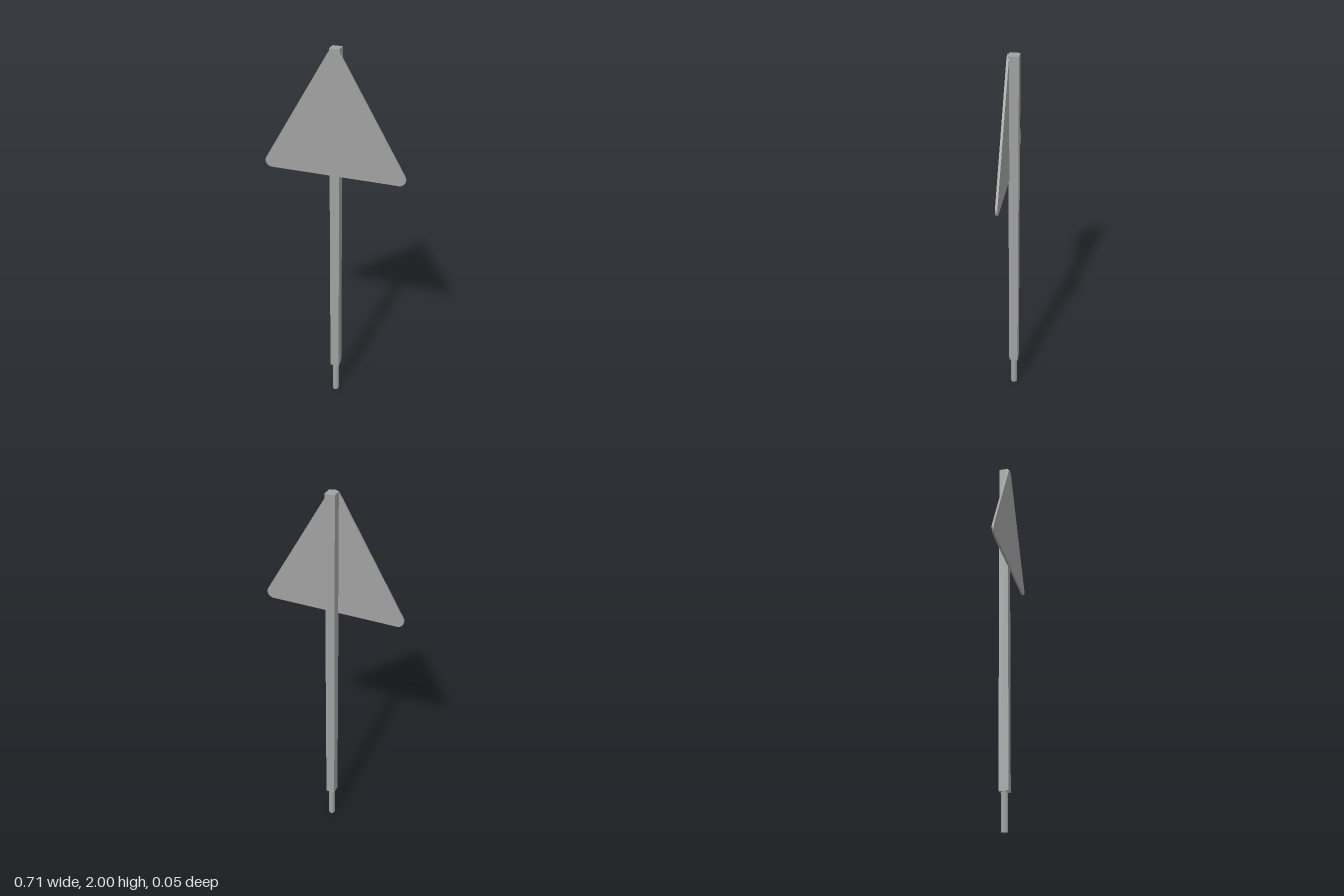
import * as THREE from 'three';

const grey = new THREE.MeshStandardMaterial({ color: 0xa0a0a0, flatShading: true });
grey.name = 'plain grey';

function part(name, geometry, x, y, z) {
  const mesh = new THREE.Mesh(geometry, grey);
  mesh.name = name;
  mesh.position.set(x, y, z);
  return mesh;
}

// Equilateral triangle with rounded corners, base on y = 0
function roundedTriangle(halfWidth, r) {
  const cx = halfWidth - r;
  const shape = new THREE.Shape();
  shape.moveTo(-cx, 0);
  shape.absarc(cx, r, r, -Math.PI / 2, Math.PI / 6, false);
  shape.absarc(0, r + Math.sqrt(3) * cx, r, Math.PI / 6, Math.PI * 5 / 6, false);
  shape.absarc(-cx, r, r, Math.PI * 5 / 6, Math.PI * 3 / 2, false);
  return shape;
}

export function createModel() {
  const model = new THREE.Group();
  model.name = 'triangularRoadSign';

  // Square post, standing on a thin round peg
  model.add(part('post', new THREE.BoxGeometry(0.048, 1.815, 0.048), 0, 1.0925, -0.0055));
  model.add(part('groundPeg', new THREE.CylinderGeometry(0.017, 0.017, 0.19, 12), 0, 0.095, -0.0055));

  // Sign plate, set slightly into the front of the post
  const plate = new THREE.ExtrudeGeometry(roundedTriangle(0.353, 0.032), {
    depth: 0.011, bevelEnabled: false, curveSegments: 8,
  });
  model.add(part('signPlate', plate, 0, 1.38, 0.014));

  return model;
}
